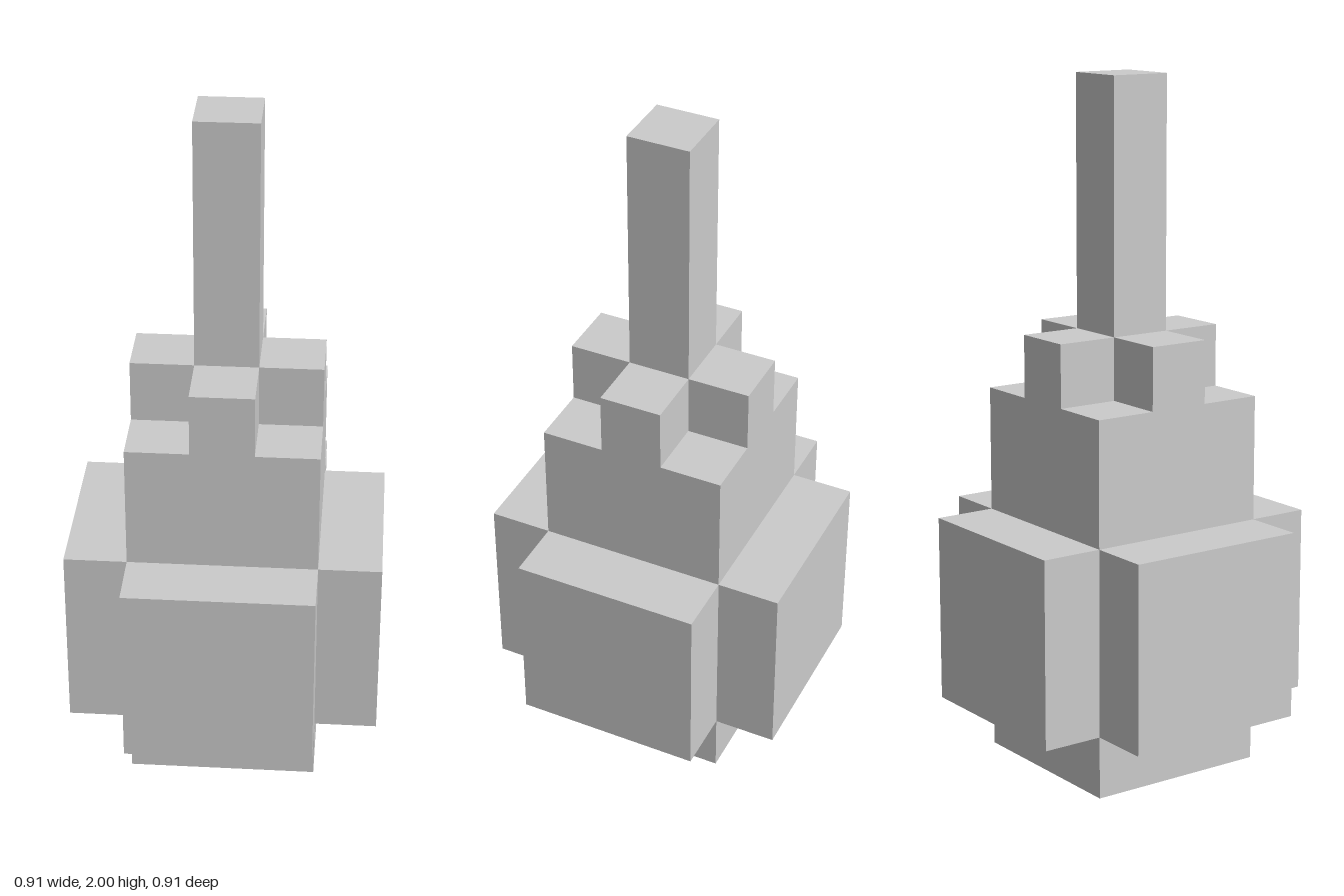
import * as THREE from 'three';

const U = 2 / 11; // one block; the model is 11 blocks tall

export function createModel() {
  const model = new THREE.Group();
  const material = new THREE.MeshStandardMaterial({ color: 0xcccccc, flatShading: true });

  // Box sized in blocks, standing on height y
  function block(name, w, h, d, x, y, z) {
    const mesh = new THREE.Mesh(new THREE.BoxGeometry(w * U, h * U, d * U), material);
    mesh.position.set(x * U, (y + h / 2) * U, z * U);
    mesh.name = name;
    model.add(mesh);
  }

  // Square central body and the tall stem
  block('body', 3, 6, 3, 0, 0, 0);
  block('stem', 1, 5, 1, 0, 6, 0);

  // Each side has a bulging panel and a small collar block against the stem
  const sides = [['front', 0, 1], ['back', 0, -1], ['left', 1, 0], ['right', -1, 0]];
  for (const [side, x, z] of sides) {
    block(side + 'Panel', x ? 1 : 3, 3, z ? 1 : 3, x * 2, 1, z * 2);
    block(side + 'Collar', 1, 1, 1, x, 6, z);
  }
  return model;
}
